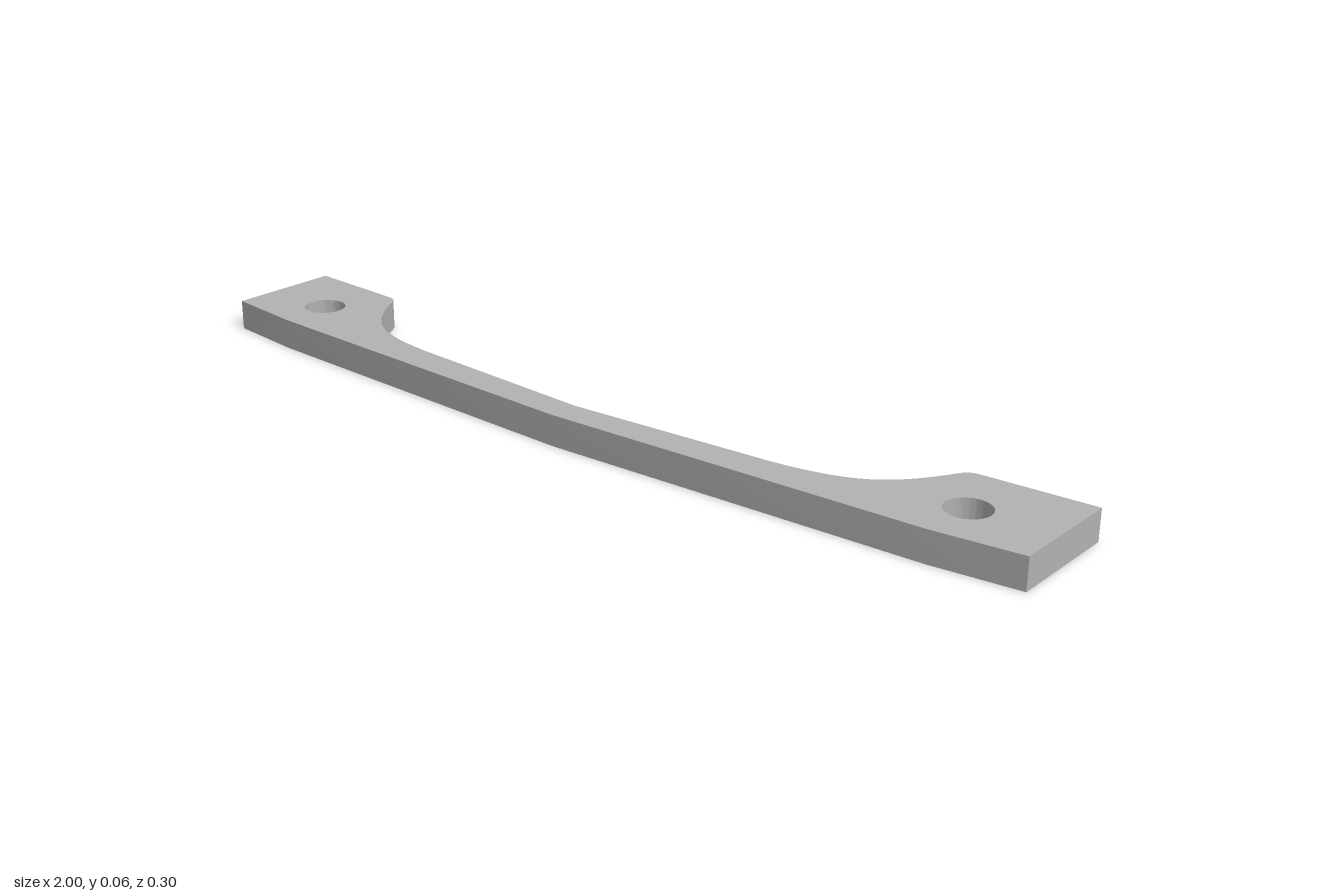
import * as THREE from 'three';
import { toCreasedNormals } from 'three/addons/utils/BufferGeometryUtils.js';

const THICKNESS = 0.065;

export function createModel() {
  const group = new THREE.Group();
  group.name = 'pullHandle';
  const metal = new THREE.MeshStandardMaterial({ color: 0xb2b2b2 });
  metal.name = 'grey metal';

  // back edge of one half, from the outer corner to the middle (shape y is -z)
  const v = (x, z) => new THREE.Vector2(x, -z);
  const back = new THREE.CurvePath();
  back.add(new THREE.LineCurve(v(1, -0.152), v(0.768, -0.14)));
  back.add(new THREE.QuadraticBezierCurve(v(0.768, -0.14), v(0.75, -0.14), v(0.74, -0.125)));
  back.add(new THREE.CubicBezierCurve(v(0.74, -0.125), v(0.67, 0), v(0.62, 0.04), v(0.45, 0.057)));
  back.add(new THREE.LineCurve(v(0.45, 0.057), v(0, 0.085)));

  // full half outline: front edge, then back edge
  const half = [v(0, 0.15), v(0.82, 0.118), v(1, 0.098), ...back.getPoints(14)];
  const mirrored = half.slice(1, -1).reverse().map((p) => new THREE.Vector2(-p.x, p.y));
  const outline = new THREE.Shape([...half, ...mirrored]);

  // screw hole in each mounting pad
  for (const side of [-1, 1]) {
    const hole = new THREE.Path();
    hole.absarc(side * 0.828, 0, 0.045, 0, Math.PI * 2, true);
    outline.holes.push(hole);
  }

  // bar with both mounting pads
  const geometry = new THREE.ExtrudeGeometry(outline, {
    depth: THICKNESS, bevelEnabled: false, curveSegments: 24,
  });
  geometry.rotateX(-Math.PI / 2);
  const bar = new THREE.Mesh(toCreasedNormals(geometry, 0.4), metal);
  bar.name = 'handleBar';
  group.add(bar);
  return group;
}
